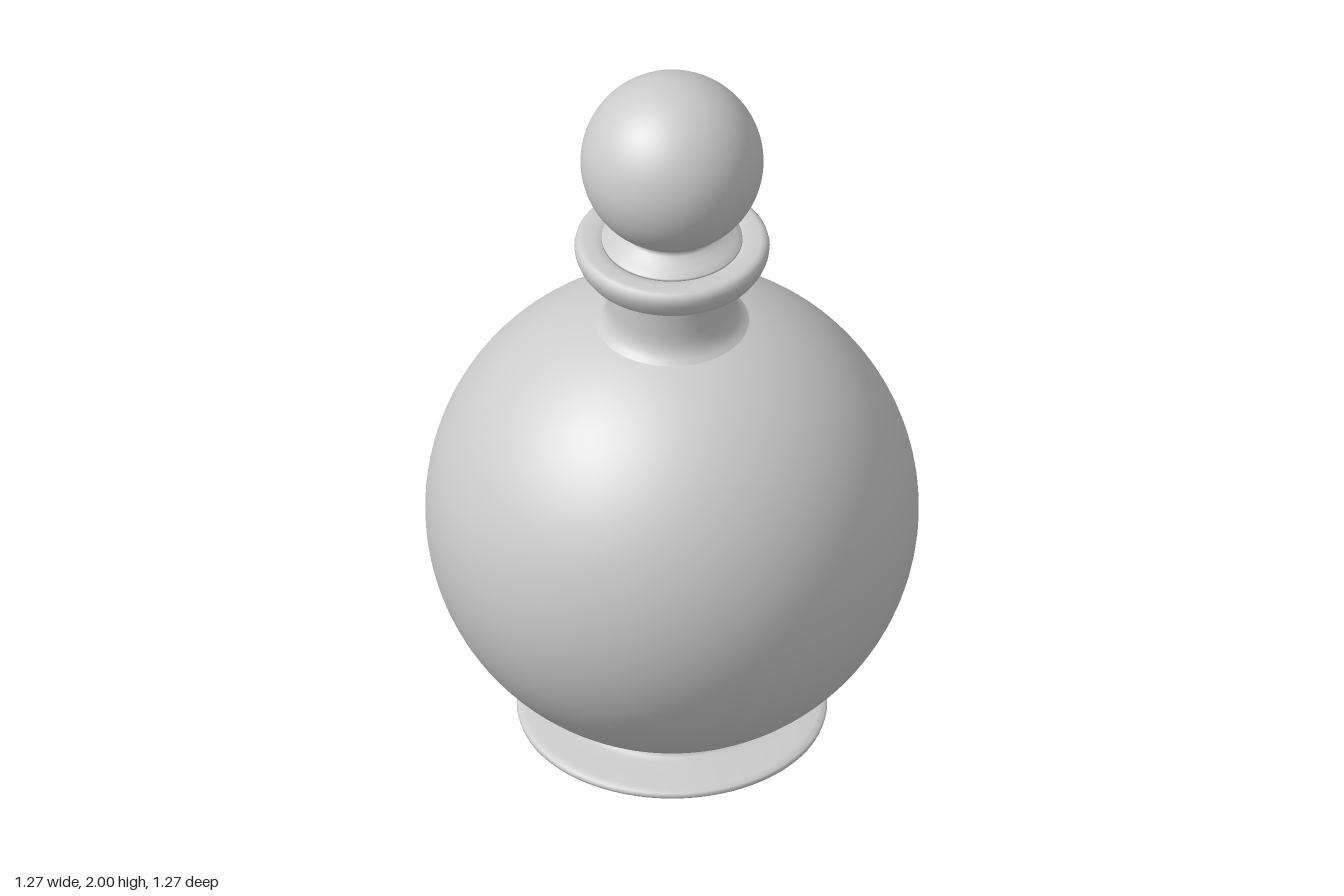
import * as THREE from 'three';

const SEGMENTS = 96;

export function createModel() {
  const model = new THREE.Group();
  const material = new THREE.MeshStandardMaterial({ color: 0xcccccc, side: THREE.DoubleSide });

  // Turns a list of [radius, height] pairs, bottom to top, around the y axis
  const turned = (name, profile) => {
    const points = profile.map(([r, y]) => new THREE.Vector2(r, y));
    const mesh = new THREE.Mesh(new THREE.LatheGeometry(points, SEGMENTS), material);
    mesh.name = name;
    model.add(mesh);
  };

  // Points on a circular arc centred on the axis, between two heights
  const arc = (radius, centre, from, to, steps) => {
    const a = Math.asin((from - centre) / radius);
    const b = Math.asin(Math.min(1, (to - centre) / radius));
    return Array.from({ length: steps + 1 }, (_, i) => {
      const t = a + (b - a) * i / steps;
      return [Math.max(0, radius * Math.cos(t)), centre + radius * Math.sin(t)];
    });
  };

  // Flat base and thin flared foot
  turned('base', [[0, 0], [0.39, 0]]);
  turned('foot', [[0.39, 0], [0.398, 0.004], [0.4, 0.011], [0.396, 0.018], [0.38, 0.023],
    [0.33, 0.028], [0.285, 0.033], [0.268, 0.039], [0.26, 0.047], [0.262, 0.055], [0.275, 0.072]]);

  // Round body
  turned('body', arc(0.636, 0.646, 0.06, 1.254, 64));

  // Neck, curving into the shoulder and the lip
  turned('neck', [[0.2, 1.249], [0.186, 1.26], [0.175, 1.275], [0.168, 1.297], [0.166, 1.325],
    [0.166, 1.395], [0.169, 1.41], [0.178, 1.42], [0.195, 1.425]]);

  // Rolled lip
  turned('lip', [[0.19, 1.424], [0.215, 1.428], [0.23, 1.437], [0.242, 1.455], [0.25, 1.477],
    [0.252, 1.492], [0.249, 1.505], [0.241, 1.513], [0.23, 1.516], [0.2, 1.515], [0.18, 1.51], [0.165, 1.5]]);

  // Stopper collar and ball
  turned('stopperCollar', [[0.165, 1.5], [0.182, 1.512], [0.181, 1.518], [0.165, 1.528],
    [0.142, 1.542], [0.13, 1.553], [0.126, 1.56], [0.13, 1.571]]);
  turned('stopperBall', arc(0.236, 1.764, 1.564, 2, 40));

  return model;
}
